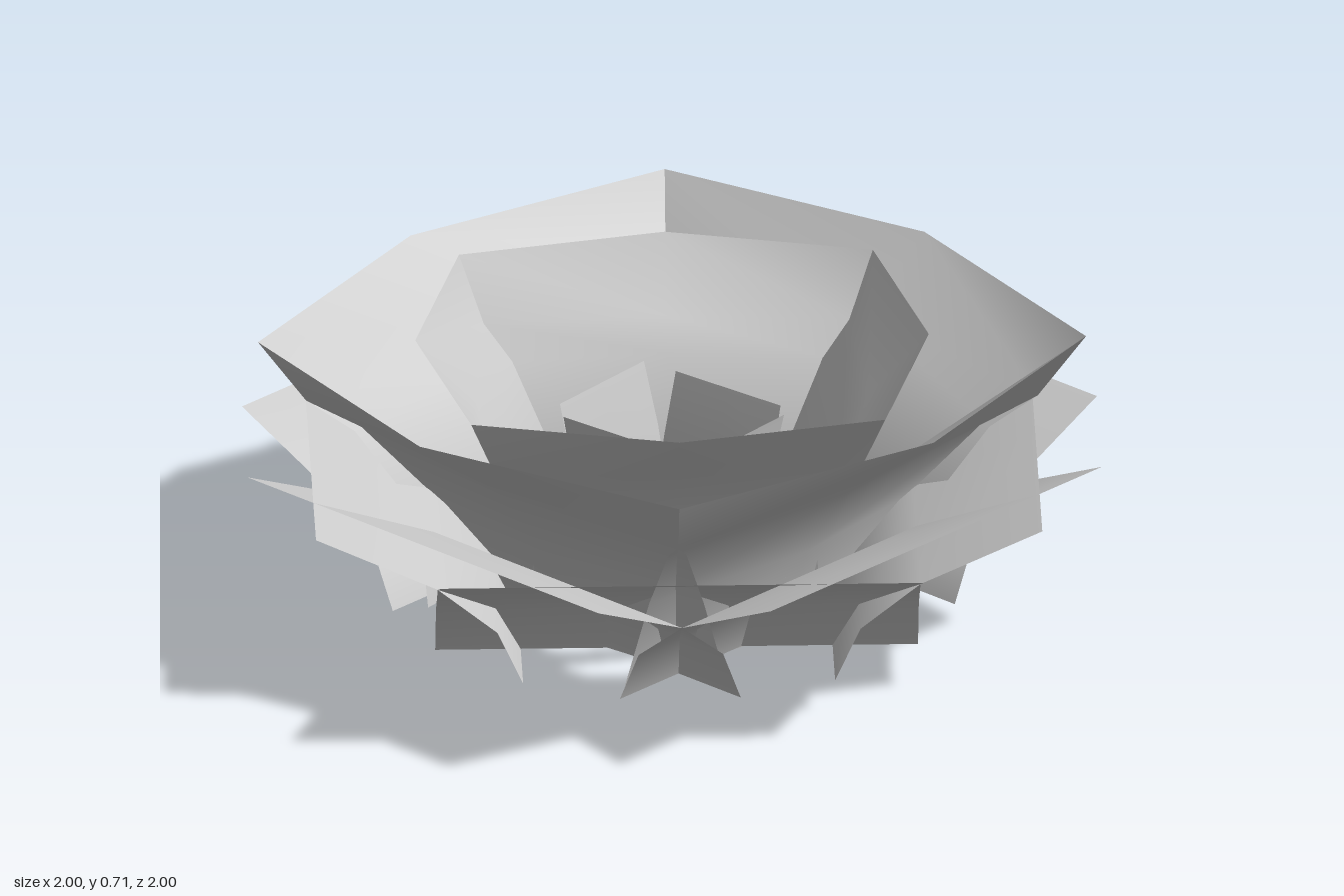
import * as THREE from 'three';

const material = new THREE.MeshStandardMaterial({ color: 0xcccccc, side: THREE.DoubleSide });

// One bent sheet facing +z, from cross rows listed bottom to top.
// Each row: [radius, height fraction, half width, inward bow of the sides]
function petalGeometry(rows, scale, bottom, top) {
  const geometry = new THREE.PlaneGeometry(2, 1, 2, rows.length - 1);
  const pos = geometry.attributes.position;
  for (let i = 0; i < pos.count; i++) {
    const across = pos.getX(i);
    const [radius, height, half, bow] = rows[rows.length - 1 - Math.floor(i / 3)];
    pos.setXYZ(i,
      across * half * scale,
      bottom + (top - bottom) * height,
      (radius - Math.abs(across) * bow) * scale);
  }
  geometry.computeVertexNormals();
  return geometry;
}

// Petals repeated around the vertical axis; each may be lifted a little
function ring(name, geometry, count, startAngle, lifts = []) {
  const group = new THREE.Group();
  group.name = name;
  for (let i = 0; i < count; i++) {
    const petal = new THREE.Mesh(geometry, material);
    petal.name = name + 'Petal';
    petal.rotation.y = startAngle + (i * Math.PI * 2) / count;
    petal.position.y = lifts[i] ?? 0;
    group.add(petal);
  }
  return group;
}

export function createModel() {
  const model = new THREE.Group();
  model.name = 'flower';

  // Flat sheets that flare outward in three bends
  const flat = [
    [0.365, 0, 0.565, 0], [0.425, 0.35, 0.565, 0],
    [0.565, 0.65, 0.565, 0], [0.85, 1, 0.565, 0],
  ];
  // The same flare, folded inward at the sides so neighbours meet
  const folded = [
    [0.38, 0, 0.49, 0.06], [0.435, 0.35, 0.465, 0.06],
    [0.565, 0.65, 0.54, 0.055], [0.65, 0.76, 0.605, 0.045], [0.85, 1, 0.685, 0.165],
  ];
  // Small upright sheet
  const upright = [
    [0.11, 0, 0.17, 0], [0.14, 0.35, 0.165, 0],
    [0.17, 0.7, 0.16, 0], [0.21, 1, 0.157, 0],
  ];

  // Low, wide outer petals
  model.add(ring('outer', petalGeometry(flat, 1, 0.085, 0.46), 8, 0));

  // Tall bowls, the inner one smaller and turned by an eighth
  model.add(ring('middle', petalGeometry(folded, 1, 0.08, 0.71), 4, Math.PI / 4 - 0.012));
  model.add(ring('inner', petalGeometry(folded, Math.SQRT1_2, 0.08, 0.715), 4, 0));

  // Heart petals, slightly twisted
  model.add(ring('heart', petalGeometry(upright, 1, 0, 0.51), 4, Math.PI / 4 + 0.08, [0.01, 0, 0.03, 0.03]));

  return model;
}
